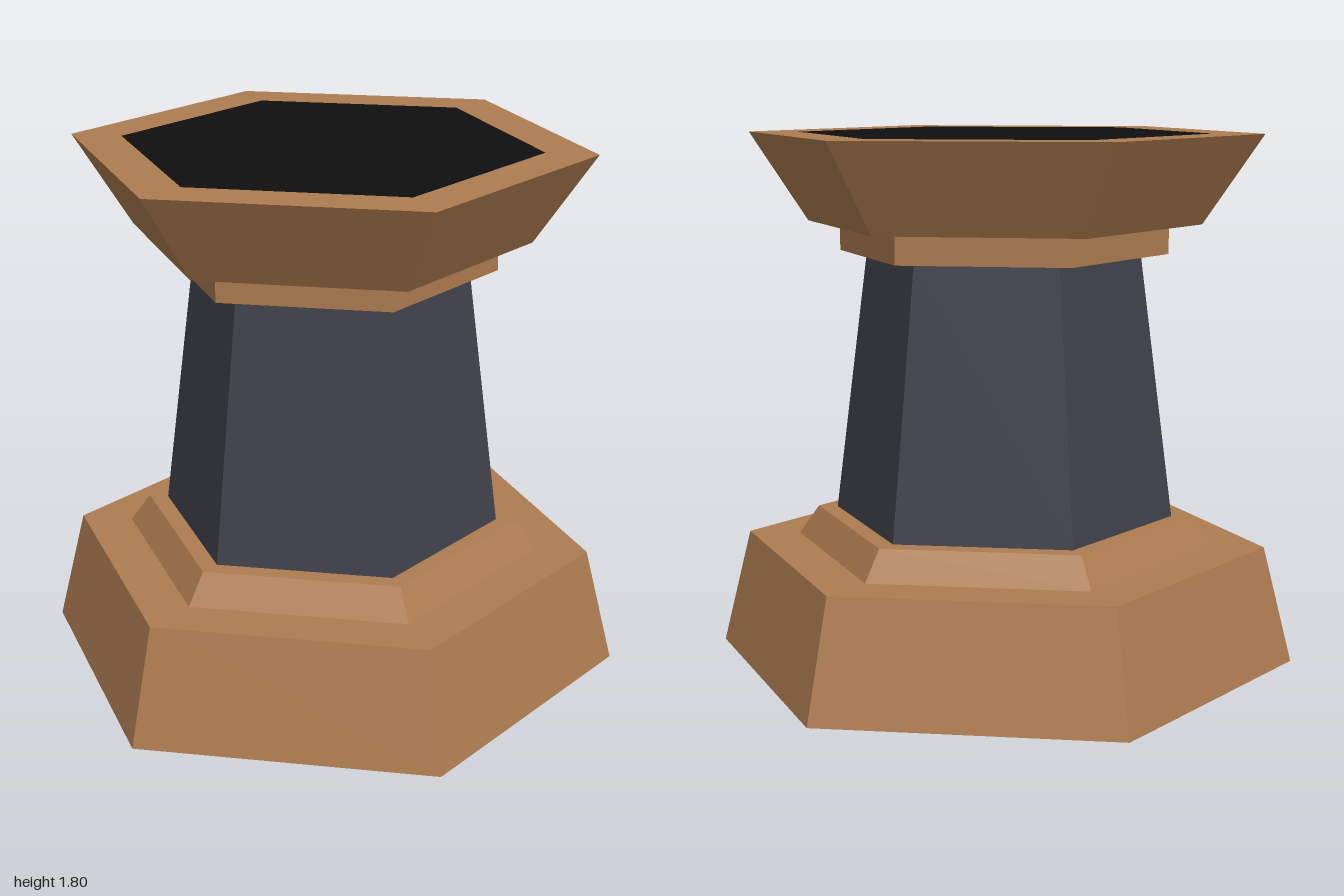
import * as THREE from 'three';

const SIDES = 6;

const bronze = new THREE.MeshStandardMaterial({ name: 'bronze brown', color: 0xae7c50, side: THREE.DoubleSide, flatShading: true });
const slate = new THREE.MeshStandardMaterial({ name: 'slate grey', color: 0x41414b, side: THREE.DoubleSide, flatShading: true });
const black = new THREE.MeshStandardMaterial({ name: 'black', color: 0x0f0f0f, side: THREE.DoubleSide, flatShading: true });

// Open six-sided shell turned from a profile of [radius, height] points, a corner facing +z
function hexShell(name, material, profile) {
  const points = profile.map(([r, y]) => new THREE.Vector2(r, y));
  const geometry = new THREE.LatheGeometry(points, SIDES).toNonIndexed();
  geometry.computeVertexNormals();
  const mesh = new THREE.Mesh(geometry, material);
  mesh.name = name;
  return mesh;
}

export function createModel() {
  const model = new THREE.Group();
  model.name = 'pedestal';

  // Hollow foot, open underneath, with its stepped ledge
  model.add(hexShell('base', bronze, [[1, 0], [0.9, 0.4], [0.72, 0.4]]));
  model.add(hexShell('baseStep', bronze, [[0.72, 0.4], [0.65, 0.5], [0.583, 0.5]]));

  // Tapered shaft
  model.add(hexShell('column', slate, [[0.583, 0.5], [0.467, 1.4]]));

  // Collar and flared head with a flat rim
  model.add(hexShell('collar', bronze, [[0.467, 1.4], [0.56, 1.4], [0.56, 1.5]]));
  model.add(hexShell('head', bronze, [[0.56, 1.5], [0.67, 1.5], [0.872, 1.8], [0.7, 1.8]]));

  // Dark panel filling the rim
  const panel = new THREE.Mesh(new THREE.CircleGeometry(0.7, SIDES, Math.PI / 2).rotateX(-Math.PI / 2), black);
  panel.position.y = 1.8;
  panel.name = 'topPanel';
  model.add(panel);

  return model;
}
